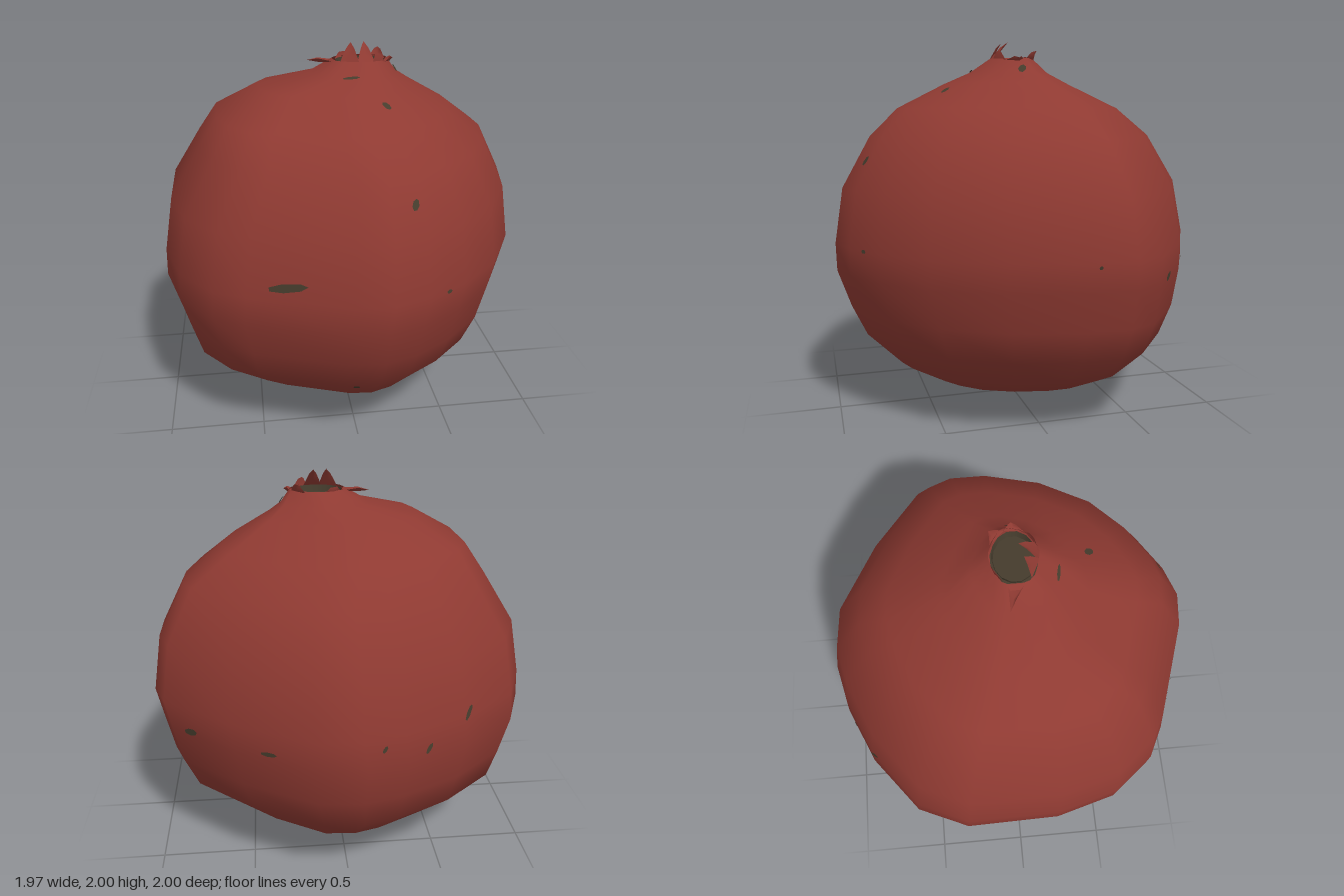
import * as THREE from 'three';

const skin = new THREE.MeshStandardMaterial({ color: 0x8f3a32, side: THREE.DoubleSide });
skin.name = 'red skin';
const dark = new THREE.MeshStandardMaterial({ color: 0x453c2d, side: THREE.DoubleSide });
dark.name = 'dark brown';

// Plan outline (x, z), clockwise from the back as seen from above
const outline = [
  [-0.04, -1], [0.2, -0.98], [0.6, -0.76], [0.94, -0.49], [1, -0.34], [1, -0.1], [0.91, 0.27],
  [0.73, 0.6], [0.51, 0.81], [0.3, 0.94], [0.12, 1], [-0.07, 0.98], [-0.57, 0.81], [-0.73, 0.73],
  [-0.9, 0.52], [-0.99, 0.2], [-1, -0.3], [-0.88, -0.57], [-0.57, -0.81], [-0.25, -0.95],
];

// Level sections: y, min x, max x, min z, max z
const sections = [
  [1.91, -0.05, 0.24, -0.08, 0.16],
  [1.84, -0.17, 0.29, -0.17, 0.26],
  [1.78, -0.44, 0.38, -0.32, 0.39],
  [1.65, -0.67, 0.6, -0.6, 0.65],
  [1.5, -0.77, 0.8, -0.76, 0.81],
  [1.24, -0.93, 0.935, -0.925, 0.955],
  [0.95, -0.98, 0.98, -0.985, 1],
  [0.8, -0.985, 0.945, -1, 0.995],
  [0.6, -0.93, 0.9, -0.965, 0.925],
  [0.43, -0.885, 0.83, -0.9, 0.845],
  [0.25, -0.64, 0.63, -0.73, 0.66],
  [0.12, -0.46, 0.38, -0.54, 0.45],
  [0.03, -0.3, 0.12, -0.35, 0.15],
];

function sectionPoint([y, x0, x1, z0, z1], [u, v]) {
  return [(x0 + x1) / 2 + u * (x1 - x0) / 2, y, (z0 + z1) / 2 + v * (z1 - z0) / 2];
}

function geometryFrom(points, index) {
  const g = new THREE.BufferGeometry();
  g.setAttribute('position', new THREE.Float32BufferAttribute(points.flat(), 3));
  g.setIndex(index);
  g.computeVertexNormals();
  return g;
}

// Skin lofted through the sections, closed at the bottom
function fruitGeometry() {
  const n = outline.length, points = [], index = [];
  for (const s of sections) for (const o of outline) points.push(sectionPoint(s, o));
  points.push([-0.06, 0, -0.18]);
  for (let r = 0; r < sections.length; r++) {
    for (let i = 0; i < n; i++) {
      const j = (i + 1) % n, a = r * n + i, b = r * n + j;
      if (r === sections.length - 1) index.push(a, b, points.length - 1);
      else index.push(a, b, a + n, b, b + n, a + n);
    }
  }
  return geometryFrom(points, index);
}

// Ragged crown lobe: angle on the lip, half width, bent middle and tip
function lobeGeometry(angle, half, tip) {
  const lip = (a) => [0.095 + 0.145 * Math.cos(a), 1.9, 0.04 + 0.12 * Math.sin(a)];
  const l = lip(angle - half), r = lip(angle + half), c = lip(angle);
  const side = (p) => p.map((v, k) => v * 0.4 + tip[k] * 0.6 + (k === 1 ? 0.012 : 0));
  const mid = [c[0] * 0.5 + tip[0] * 0.5, c[1] * 0.5 + tip[1] * 0.5 - 0.01, c[2] * 0.5 + tip[2] * 0.5];
  return geometryFrom([l, r, side(r), tip, side(l), mid], [0, 1, 5, 1, 2, 5, 2, 3, 5, 3, 4, 5, 4, 0, 5]);
}

export function createModel() {
  const model = new THREE.Group();
  model.name = 'fruit';
  const add = (geometry, material, name, parent = model) => {
    const mesh = new THREE.Mesh(geometry, material);
    mesh.name = name;
    parent.add(mesh);
    return mesh;
  };

  const body = add(fruitGeometry(), skin, 'body');
  body.updateMatrixWorld(true);

  // Crown lobes around the open calyx
  const crown = new THREE.Group();
  crown.name = 'crown';
  model.add(crown);
  const lobes = [
    [Math.PI, 0.35, [-0.18, 1.9, 0]],
    [2.1, 0.4, [0.04, 2, 0.08]],
    [1.45, 0.35, [0.11, 2, 0.06]],
    [0.9, 0.35, [0.17, 1.95, 0.13]],
    [0.1, 0.4, [0.27, 1.91, 0.04]],
    [-0.7, 0.4, [0.21, 1.95, -0.07]],
    [-2.2, 0.4, [0.01, 1.93, -0.06]],
  ];
  for (const [angle, half, tip] of lobes) add(lobeGeometry(angle, half, tip), skin, 'crownLobe', crown);

  // Dark hollow inside the crown
  const hollow = add(new THREE.CylinderGeometry(1, 0.9, 0.05, 14, 1, true), dark, 'hollowWall', crown);
  hollow.scale.set(0.132, 1, 0.108);
  hollow.position.set(0.095, 1.88, 0.04);
  const floor = add(new THREE.CircleGeometry(1, 14), dark, 'hollowFloor', crown);
  floor.rotation.x = -Math.PI / 2;
  floor.scale.set(0.14, 0.115, 1);
  floor.position.set(0.095, 1.87, 0.04);

  // Flat blemishes laid on the skin: aim point, width, height, tilt
  const spots = [
    [[-0.38, 1.02, 0.9], 0.2, 0.045, 0.12],
    [[0.23, 1.39, 0.85], 0.035, 0.06, -0.4],
    [[0.41, 0.95, 0.9], 0.035, 0.02, 0],
    [[-0.03, 0.41, 0.8], 0.035, 0.06, 0.2],
    [[0.02, 1.835, 0.24], 0.09, 0.02, 0],
    [[0.17, 1.75, 0.42], 0.04, 0.06, 0.4],
    [[0.8, 0.82, -0.59], 0.09, 0.04, 0],
    [[0.42, 0.83, -0.9], 0.09, 0.025, 0],
    [[0.98, 0.93, -0.14], 0.02, 0.02, 0],
    [[-0.59, 0.97, -0.8], 0.09, 0.03, 0.3],
    [[-0.37, 0.85, -0.92], 0.06, 0.025, 0.3],
    [[-0.14, 0.9, -0.99], 0.04, 0.02, 0],
    [[0.2, 0.04, -0.22], 0.16, 0.06, 0],
    [[0.28, 1.85, 0.03], 0.04, 0.05, 0],
  ];
  const ray = new THREE.Raycaster();
  const core = new THREE.Vector3(0, 0.95, 0);
  const forward = new THREE.Vector3(0, 0, 1);
  for (const [aim, w, h, tilt] of spots) {
    const target = new THREE.Vector3(...aim);
    const out = target.clone().sub(core).normalize();
    ray.set(target.clone().addScaledVector(out, 1), out.clone().negate());
    const hit = ray.intersectObject(body)[0];
    if (!hit) continue;
    const spot = add(new THREE.CircleGeometry(0.5, 7), dark, 'blemish');
    spot.scale.set(w, h, 1);
    spot.position.copy(hit.point).addScaledVector(hit.face.normal, 0.005);
    spot.quaternion.setFromUnitVectors(forward, hit.face.normal);
    spot.rotateZ(tilt);
  }
  return model;
}
